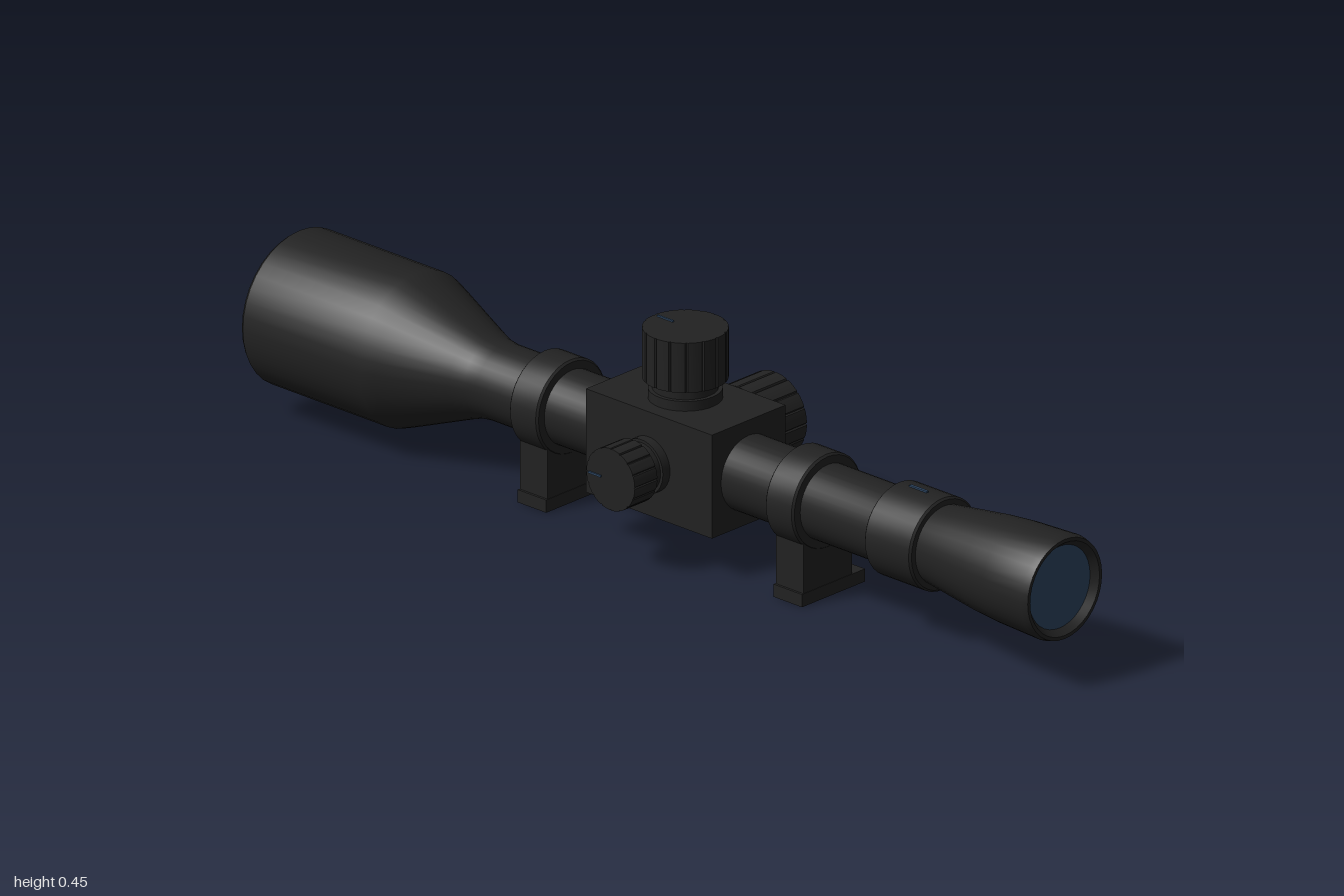
import * as THREE from 'three';
import { toCreasedNormals } from 'three/addons/utils/BufferGeometryUtils.js';

const AXIS_X = -0.022, AXIS_Y = 0.195, TURRET_Z = 0.012;

export function createModel() {
  const black = new THREE.MeshStandardMaterial({ color: 0x222222 });
  black.name = 'matte black';
  const blue = new THREE.MeshStandardMaterial({ color: 0x2c4460 });
  blue.name = 'lens blue';

  const model = new THREE.Group();
  model.name = 'rifleScope';

  const add = (parent, name, geometry, material, x = 0, y = 0, z = 0) => {
    const mesh = new THREE.Mesh(geometry, material);
    mesh.name = name;
    mesh.position.set(x, y, z);
    parent.add(mesh);
    return mesh;
  };

  // Turned part along z, from [radius, z] pairs
  const turned = (profile, segments = 36) => {
    const g = new THREE.LatheGeometry(profile.map(([r, z]) => new THREE.Vector2(r, z)), segments);
    return toCreasedNormals(g.rotateX(Math.PI / 2), 0.5);
  };

  // Optical assembly, centred on the tube axis
  const optics = new THREE.Group();
  optics.name = 'optics';
  optics.position.set(AXIS_X, AXIS_Y, 0);
  model.add(optics);

  // Bell, tube and eyepiece in one profile
  add(optics, 'scopeTube', turned([
    [0.118, -0.985], [0.138, -1.0], [0.15, -1.0], [0.156, -0.992], [0.156, -0.69],
    [0.145, -0.66], [0.09, -0.52], [0.08, -0.49], [0.076, -0.46],
    [0.076, 0.67], [0.08, 0.69], [0.088, 0.75], [0.097, 0.82], [0.102, 0.88],
    [0.106, 0.985], [0.102, 1.0], [0.095, 1.0], [0.083, 0.985],
  ]), black);

  // Lenses
  add(optics, 'eyepieceLens', new THREE.CircleGeometry(0.084, 36), blue, 0, 0, 0.986);
  add(optics, 'objectiveLens', new THREE.CircleGeometry(0.119, 36), blue, 0, 0, -0.986)
    .rotation.y = Math.PI;

  // Collar around the tube
  const collar = (name, r, z0, z1) => add(optics, name, turned([
    [0.07, z0], [r - 0.004, z0], [r, z0 + 0.004], [r, z1 - 0.004], [r - 0.004, z1], [0.07, z1],
  ]), black);
  collar('magnificationRing', 0.094, 0.565, 0.686);
  add(optics, 'magnificationMark', new THREE.BoxGeometry(0.006, 0.006, 0.045), blue, 0, 0.094, 0.62);

  // Mounting rings with clamp block and foot
  for (const [name, z] of [['front', 0.346], ['rear', -0.32]]) {
    collar(name + 'MountRing', 0.096, z - 0.037, z + 0.037);
    add(model, name + 'MountBlock', new THREE.BoxGeometry(0.133, 0.115, 0.072), black, -0.0215, 0.0825, z);
    add(model, name + 'MountFoot', new THREE.BoxGeometry(0.173, 0.026, 0.074), black, -0.0065, 0.013, z);
  }

  // Turret housing
  add(model, 'turretHousing', new THREE.BoxGeometry(0.202, 0.212, 0.328), black, AXIS_X, 0.196, 0.013);

  // Round knob with narrow grip grooves, extruded along z
  const knobGeometry = (r, depth, grooves = 16) => {
    const points = [];
    const step = (Math.PI * 2) / grooves;
    const push = (a, radius) => points.push(new THREE.Vector2(Math.cos(a) * radius, Math.sin(a) * radius));
    for (let i = 0; i < grooves; i++) {
      push(i * step, r * 0.965);
      for (const t of [0.08, 0.36, 0.64, 0.92]) push((i + t) * step, r);
    }
    const g = new THREE.ExtrudeGeometry(new THREE.Shape(points), { depth, bevelEnabled: false });
    return toCreasedNormals(g, 0.4);
  };

  // Turret pointing along its own z: stepped neck, knob and index mark
  const turret = (name, r, neck, waist, neckLength, depth, markSide) => {
    const group = new THREE.Group();
    group.name = name;
    add(group, name + 'Neck', turned([
      [neck, -0.01], [neck, neckLength * 0.48], [waist, neckLength * 0.48], [waist, neckLength + 0.005],
    ]), black);
    add(group, name + 'Knob', knobGeometry(r, depth), black, 0, 0, neckLength);
    const [mx, my] = markSide;
    add(group, name + 'Mark',
      new THREE.BoxGeometry(mx ? r * 0.5 : 0.004, my ? r * 0.5 : 0.004, 0.006), blue,
      mx * r * 0.63, my * r * 0.63, neckLength + depth);
    model.add(group);
    return group;
  };

  const top = turret('elevationTurret', 0.082, 0.071, 0.063, 0.042, 0.102, [0, 1]);
  top.position.set(AXIS_X, 0.302, TURRET_Z);
  top.rotation.x = -Math.PI / 2;

  const left = turret('leftTurret', 0.083, 0.071, 0.062, 0.043, 0.102, [1, 0]);
  left.position.set(0.079, AXIS_Y, TURRET_Z);
  left.rotation.y = Math.PI / 2;

  const right = turret('rightTurret', 0.063, 0.056, 0.05, 0.043, 0.062, [-1, 0]);
  right.position.set(-0.122, AXIS_Y, TURRET_Z);
  right.rotation.y = -Math.PI / 2;

  return model;
}
